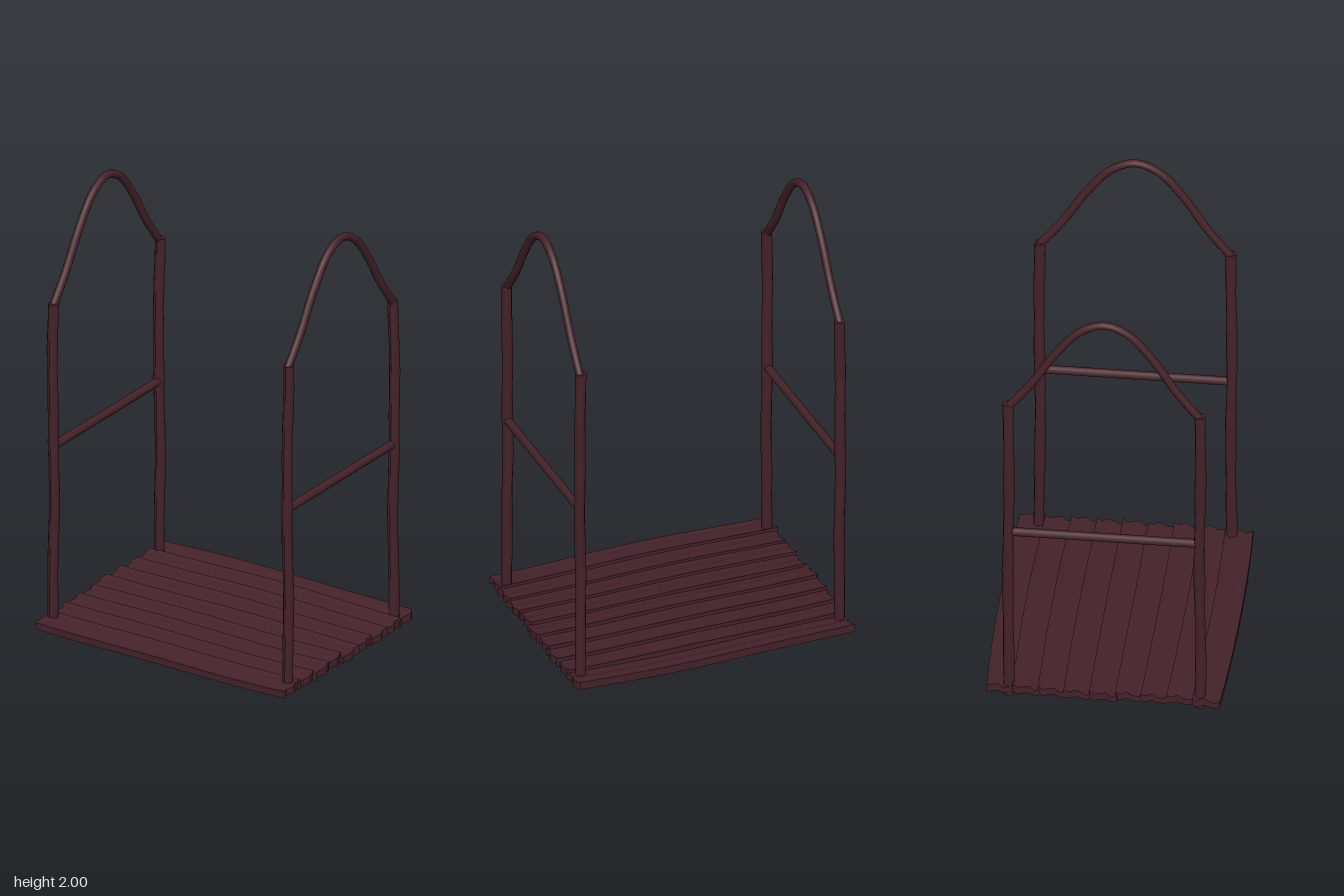
import * as THREE from 'three';

const material = new THREE.MeshStandardMaterial({ color: 0x45222a, roughness: 0.9 });

// Small repeatable random numbers in -1..1
let seed = 7;
const rand = () => {
  seed = (seed * 16807) % 2147483647;
  return (seed / 2147483647) * 2 - 1;
};

// Move every vertex of a geometry by a rule
function bend(geometry, rule) {
  const p = geometry.attributes.position;
  const v = new THREE.Vector3();
  for (let i = 0; i < p.count; i++) {
    v.fromBufferAttribute(p, i);
    rule(v);
    p.setXYZ(i, v.x, v.y, v.z);
  }
  geometry.computeVertexNormals();
  return geometry;
}

function addMesh(parent, name, geometry) {
  const mesh = new THREE.Mesh(geometry, material);
  mesh.name = name;
  parent.add(mesh);
  return mesh;
}

const HALF_DEPTH = 0.415;
const POST_TOP = 1.53;

// Weathered plank: slightly tilted, bowed outward, with ragged ends
function plank(index, count) {
  const pitch = 1.0 / count;
  const z0 = -0.5 + pitch * (index + 0.5);
  const phase = rand() * 3;
  const leftEnd = rand() * 0.01;
  const rightEnd = rand() * 0.01;
  const lift = rand() * 0.003;
  const geometry = new THREE.BoxGeometry(1.29, 0.032, pitch + 0.01, 16, 1, 5);
  return bend(geometry, (v) => {
    const across = v.z / pitch;
    const along = v.x / 0.645;
    const top = v.y > 0;
    if (Math.abs(along) > 0.99) {
      v.x += (along < 0 ? leftEnd : rightEnd) + 0.009 * Math.sin(across * 9 + phase);
    }
    if (top) v.y += 0.004 * Math.sin(across * 11 + phase) - 0.014 * across;
    else v.y -= 0.004 * across;
    v.y += 0.038 + lift - 0.007 * along + 0.003 * Math.sin(along * 4 + phase);
    // the deck is a little wider at mid-length
    v.z = (v.z + z0) * (1 + 0.034 * (1 - along * along));
  });
}

// Rough-hewn upright
function post() {
  const phase = rand() * 3;
  const geometry = new THREE.CylinderGeometry(0.024, 0.024, POST_TOP, 10, 14);
  geometry.translate(0, POST_TOP / 2 + 0.004, 0);
  return bend(geometry, (v) => {
    const a = Math.atan2(v.z, v.x);
    const s = 1 + 0.07 * Math.sin(v.y * 13 + phase + 2 * Math.cos(a)) + 0.03 * Math.sin(v.y * 31 + phase);
    v.x = v.x * s + 0.003 * Math.sin(v.y * 5 + phase);
    v.z = v.z * s + 0.003 * Math.cos(v.y * 6 + phase);
  });
}

// Two posts, a middle rail and a bent arch
function sideFrame(name, x) {
  const frame = new THREE.Group();
  frame.name = name;
  frame.position.x = x;

  for (const side of [-1, 1]) {
    addMesh(frame, side < 0 ? 'backPost' : 'frontPost', post()).position.z = side * HALF_DEPTH;
  }

  const rail = addMesh(frame, 'rail', new THREE.CylinderGeometry(0.019, 0.019, HALF_DEPTH * 2, 10));
  rail.rotation.x = Math.PI / 2;
  rail.position.y = 0.86;

  const profile = [[1, 1.52], [0.76, 1.65], [0.5, 1.82], [0.25, 1.94], [0, 1.982],
    [-0.25, 1.94], [-0.5, 1.82], [-0.76, 1.65], [-1, 1.52]];
  const path = new THREE.CatmullRomCurve3(
    profile.map(([t, y]) => new THREE.Vector3(0, y, t * HALF_DEPTH)));
  addMesh(frame, 'arch', new THREE.TubeGeometry(path, 40, 0.018, 10));
  return frame;
}

export function createModel() {
  seed = 7;
  const model = new THREE.Group();
  model.name = 'archedPlatform';

  // Plank floor
  const deck = new THREE.Group();
  deck.name = 'deck';
  const count = 9;
  for (let i = 0; i < count; i++) addMesh(deck, 'plank', plank(i, count));
  model.add(deck);

  // Arched railings on both ends
  model.add(sideFrame('rightFrame', -0.612), sideFrame('leftFrame', 0.596));

  // The whole platform stands turned on the ground
  model.rotation.y = THREE.MathUtils.degToRad(20);
  const root = new THREE.Group();
  root.name = 'platform';
  root.add(model);
  return root;
}
